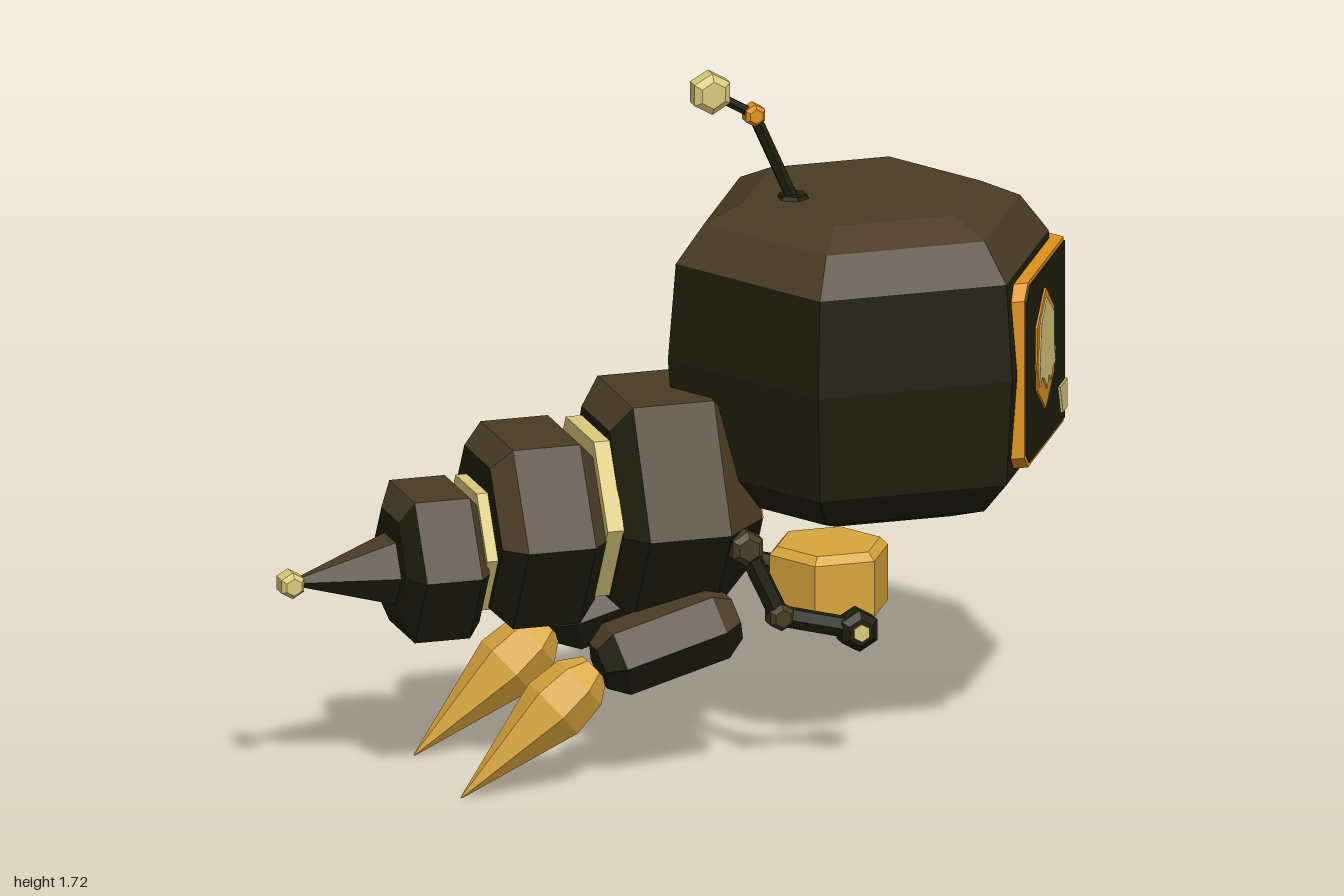
import * as THREE from 'three';

const mat = (name, color) => {
  const m = new THREE.MeshStandardMaterial({ color, flatShading: true });
  m.name = name;
  return m;
};

export function createModel() {
  const brown = mat('shell brown', 0x4a3c26);
  const dark = mat('dark olive', 0x1f1f0e);
  const yellow = mat('honey yellow', 0xd9a63c);
  const orange = mat('orange', 0xe0921f);
  const cream = mat('cream', 0xdccb7c);
  const model = new THREE.Group();
  const V = (x, y, z = 0) => new THREE.Vector3(x, y, z);

  const add = (name, geo, material) => {
    const mesh = new THREE.Mesh(geo, material);
    mesh.name = name;
    model.add(mesh);
    return mesh;
  };

  // Closed hexagonal solid of [distance, radius] rings
  const hexSolid = (rings, start = 0) => {
    const pts = rings.map(([d, r]) => new THREE.Vector2(r, d));
    pts.unshift(new THREE.Vector2(0, rings[0][0]));
    pts.push(new THREE.Vector2(0, rings[rings.length - 1][0]));
    const g = new THREE.LatheGeometry(pts, 6, start).toNonIndexed();
    g.computeVertexNormals();
    return g;
  };

  // The same solid, starting at a point and running along a direction
  const along = (rings, from, dir) => {
    const q = new THREE.Quaternion().setFromUnitVectors(V(0, 1, 0), dir.clone().normalize());
    return hexSolid(rings).applyQuaternion(q).translate(from.x, from.y, from.z);
  };

  const rod = (a, b, r) => along([[0, r], [a.distanceTo(b), r]], a, b.clone().sub(a));

  // Bevelled hexagonal knob lying across z
  const knob = (c, r, half) => along(
    [[-half, r * 0.65], [-half * 0.6, r], [half * 0.6, r], [half, r * 0.65]], c, V(0, 0, 1));

  // Brown on faces that look upward, dark olive elsewhere
  const addShell = (name, geo) => {
    geo.computeVertexNormals();
    const n = geo.attributes.normal;
    for (let i = 0; i < n.count; i += 3) geo.addGroup(i, 3, n.getY(i) > 0.3 ? 0 : 1);
    return add(name, geo, [brown, dark]);
  };

  // Head
  addShell('head', hexSolid([[0.62, 0.29], [0.655, 0.4], [0.735, 0.472], [1, 0.492],
    [1.24, 0.472], [1.335, 0.4], [1.38, 0.3]], Math.PI / 2).translate(0.475, 0, 0));

  // Plates given as (z, y) outlines, folded around the front edge of the head
  const facePlate = (name, pts, front, depth, material) => {
    for (const side of [1, -1]) {
      const shape = new THREE.Shape(pts.map(([z, y]) => new THREE.Vector2(z * side, y)));
      const g = new THREE.ExtrudeGeometry(shape, { depth, bevelEnabled: false });
      g.rotateY(Math.PI / 2).translate(front - depth, 0, 0);
      const p = g.attributes.position;
      for (let i = 0; i < p.count; i++) p.setX(i, p.getX(i) - 0.577 * Math.abs(p.getZ(i)));
      g.computeVertexNormals();
      add(name, g, material);
    }
  };
  const visor = (i) => [[0, 0.755 + i], [0.345 - i / 2, 0.755 + i], [0.38 - i, 0.79 + i / 2],
    [0.38 - i, 1.185 - i / 2], [0.345 - i / 2, 1.22 - i], [0, 1.22 - i]];
  facePlate('visorRim', visor(0), 0.985, 0.045, orange);
  facePlate('visor', visor(0.01), 0.989, 0.008, dark);
  facePlate('eye', [[0.204, 1.16], [0.29, 1.085], [0.288, 0.995], [0.302, 0.995], [0.285, 0.97],
    [0.285, 0.925], [0.204, 0.855], [0.122, 0.925], [0.122, 0.965], [0.105, 0.975],
    [0.12, 0.99], [0.122, 1.085]], 0.994, 0.008, orange);
  facePlate('pupil', [[0.207, 1.135], [0.26, 1.09], [0.277, 0.99], [0.268, 0.93], [0.25, 0.95],
    [0.23, 0.935], [0.205, 0.905], [0.19, 0.935], [0.165, 0.915], [0.155, 0.94],
    [0.125, 0.95], [0.137, 0.99], [0.14, 1.08]], 0.998, 0.008, cream);
  facePlate('mouth', [[0, 0.79], [0.043, 0.79], [0.07, 0.863], [0, 0.863]], 0.995, 0.009, cream);

  // Antenna
  const root = V(0.3, 1.375), bend = V(0.2, 1.6), tip = V(0.09, 1.665);
  add('antennaBase', hexSolid([[0, 0.04], [0.012, 0.035]]).translate(0.3, 1.378, 0), dark);
  add('antennaStem', rod(root, bend, 0.016), dark);
  add('antennaEnd', rod(bend, tip, 0.013), dark);
  add('antennaJoint', knob(bend, 0.028, 0.026), orange);
  add('antennaBulb', knob(tip, 0.052, 0.031), cream);

  // Body segments along x, with taller upper half on the thorax
  const X = V(1, 0, 0);
  const thorax = along([[-0.2, 0.225], [-0.15, 0.285], [0.055, 0.285], [0.105, 0.23],
    [0.17, 0.165]], V(0, 0, 0), X);
  const tp = thorax.attributes.position;
  for (let i = 0; i < tp.count; i++) tp.setY(i, tp.getY(i) * (tp.getY(i) > 0 ? 1.22 : 0.95));
  addShell('thorax', thorax.translate(0, 0.63, 0));
  add('chestPlate', along([[0.168, 0.155], [0.176, 0.155]], V(0, 0.63), X), orange);
  addShell('middleSegment', along([[-0.5, 0.205], [-0.45, 0.26], [-0.28, 0.26], [-0.235, 0.205]],
    V(0, 0.622), X));
  addShell('rearSegment', along([[-0.72, 0.14], [-0.69, 0.204], [-0.55, 0.204], [-0.52, 0.165]],
    V(0, 0.552), X));
  add('frontBand', along([[-0.24, 0.225], [-0.198, 0.225]], V(0, 0.65), X), cream);
  add('rearBand', along([[-0.528, 0.17], [-0.492, 0.17]], V(0, 0.585), X), cream);
  addShell('sting', along([[0, 0.092], [0.25, 0.008]], V(-0.715, 0.536), V(-0.245, -0.012)));
  add('stingTip', knob(V(-0.973, 0.522), 0.033, 0.034), cream);

  // Hexagonal pot held in front
  add('pot', hexSolid([[0.325, 0.13], [0.345, 0.15], [0.485, 0.15], [0.505, 0.13]],
    Math.PI / 2).translate(0.39, 0, 0), yellow);

  for (const s of [1, -1]) {
    // Arms
    const shoulder = V(0.1, 0.59, 0.255 * s), elbow = V(0.18, 0.415, 0.27 * s);
    const hand = V(0.375, 0.365, 0.275 * s);
    add('upperArm', rod(shoulder, elbow, 0.026), dark);
    add('forearm', rod(elbow, hand, 0.027), dark);
    add('shoulder', knob(shoulder, 0.044, 0.03), brown);
    add('elbow', knob(elbow, 0.034, 0.034), brown);
    add('hand', knob(hand, 0.052, 0.036), dark);
    add('handCap', along([[0, 0.022], [0.006, 0.022]], V(0.375, 0.365, (0.275 + 0.035) * s),
      V(0, 0, s)), cream);

    // Legs
    addShell('thigh', along([[-0.178, 0.06], [-0.13, 0.094], [0.13, 0.094], [0.178, 0.06]],
      V(-0.085, 0.355, 0.2 * s), V(0.96, 0.27)));
    add('foot', along([[0, 0.002], [0.31, 0.085], [0.4, 0.075], [0.45, 0.04]],
      V(-0.6, 0.002, 0.188 * s), V(0.325, 0.285)), yellow);
  }

  return model;
}
